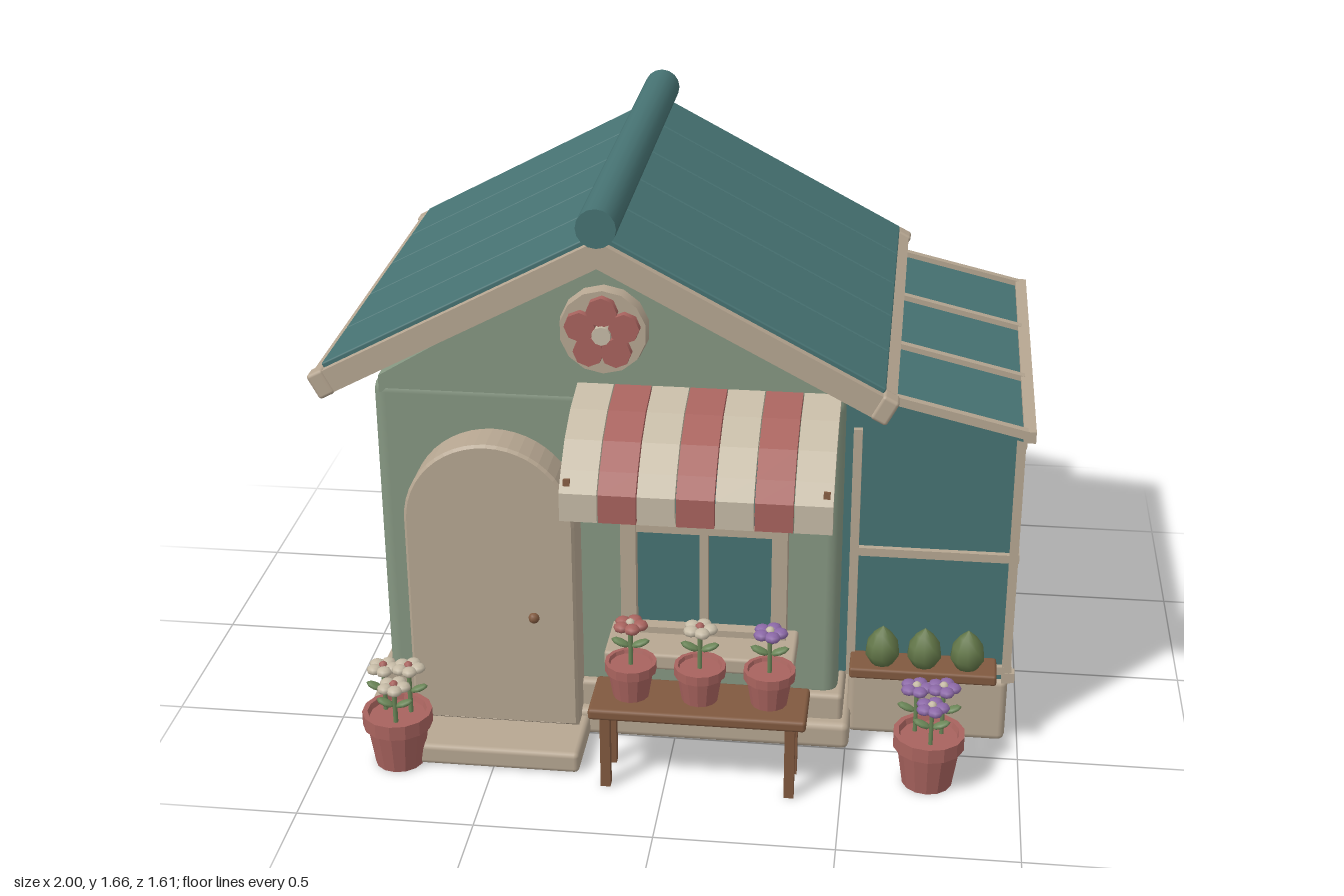
import * as THREE from 'three';
import { RoundedBoxGeometry } from 'three/addons/geometries/RoundedBoxGeometry.js';

const mat = (name, color) => Object.assign(new THREE.MeshStandardMaterial({ color }), { name });

export function createModel() {
  const M = {
    teal: mat('teal roof and glass', 0x467272),
    sage: mat('sage wall', 0x859681),
    trim: mat('stone trim', 0xb6a691),
    cream: mat('cream', 0xc6bba6),
    red: mat('terracotta red', 0xa8635e),
    wood: mat('brown wood', 0x80593f),
    leaf: mat('leaf green', 0x6a8557),
    bush: mat('bush green', 0x627648),
    purple: mat('purple petals', 0x8b68a6),
  };
  const model = new THREE.Group();
  const add = (name, geo, m, x = 0, y = 0, z = 0, parent = model) => {
    const mesh = new THREE.Mesh(geo, m);
    mesh.name = name;
    mesh.position.set(x, y, z);
    parent.add(mesh);
    return mesh;
  };
  const group = (name, x, y, z, parent = model) => {
    const g = new THREE.Group();
    g.name = name;
    g.position.set(x, y, z);
    parent.add(g);
    return g;
  };
  // Box given by its extents; r rounds the edges
  const box = (name, m, x0, x1, y0, y1, z0, z1, r = 0, parent = model) => {
    const s = [x1 - x0, y1 - y0, z1 - z0];
    const geo = r ? new RoundedBoxGeometry(...s, 2, r) : new THREE.BoxGeometry(...s);
    return add(name, geo, m, (x0 + x1) / 2, (y0 + y1) / 2, (z0 + z1) / 2, parent);
  };
  // Square bar between two points
  const bar = (name, m, a, b, w = 0.025) => {
    const A = new THREE.Vector3(...a), B = new THREE.Vector3(...b);
    const mesh = add(name, new THREE.BoxGeometry(w, w, A.distanceTo(B)), m);
    mesh.position.copy(A).add(B).multiplyScalar(0.5);
    mesh.lookAt(B);
    return mesh;
  };
  const poly = pts => new THREE.Shape(pts.map(p => new THREE.Vector2(...p)));
  const extrude = (name, shape, m, z0, z1, bevel = 0) => add(name, new THREE.ExtrudeGeometry(shape, {
    depth: z1 - z0 - bevel, bevelEnabled: bevel > 0, bevelSize: bevel, bevelOffset: -bevel,
    bevelThickness: bevel, bevelSegments: 1, curveSegments: 12,
  }), m, 0, 0, z0);

  // House body
  const CX = -0.195, CZ = -0.113;
  box('lowerFoundation', M.trim, -0.905, 0.51, 0, 0.085, -0.735, 0.51, 0.02);
  box('upperFoundation', M.trim, -0.882, 0.488, 0.07, 0.165, -0.715, 0.478, 0.015);
  box('walls', M.sage, -0.86, 0.47, 0.13, 1.09, -0.69, 0.455, 0.04);
  extrude('gable', poly([[-0.84, 1.05], [0.45, 1.05], [0.45, 1.1], [CX, 1.49], [-0.84, 1.1]]), M.sage, -0.687, 0.452);
  box('doorStep', M.trim, -0.8, -0.25, 0, 0.065, 0.45, 0.72, 0.015);

  // Main roof: two mirrored slopes
  for (const turn of [0, Math.PI]) {
    const side = group('roofSide', CX, 1.56, CZ);
    side.rotation.y = turn;
    const slope = group('roofSlope', 0, 0, 0, side);
    slope.rotation.z = -Math.atan(0.53);
    box('roofBase', M.teal, 0, 0.9, -0.03, 0.004, -0.67, 0.67, 0, slope);
    for (let i = 0; i < 5; i++) {
      const z = -0.665 + i * 0.266;
      box('roofPanel', M.teal, 0.02, 0.868, 0, 0.02, z + 0.002, z + 0.264, 0.005, slope);
    }
    for (const s of [-1, 1]) {
      box('rakeBoard', M.trim, 0, 0.905, -0.062, 0.006, s * 0.672 - 0.016, s * 0.672 + 0.016, 0, slope);
      box('eaveCap', M.trim, 0.865, 0.916, -0.066, 0.012, s * 0.665 - 0.028, s * 0.665 + 0.028, 0.01, slope);
    }
    box('eaveBoard', M.trim, 0.872, 0.908, -0.058, 0.006, -0.67, 0.67, 0, slope);
  }
  add('ridgeCap', new THREE.CylinderGeometry(0.055, 0.055, 1.385, 16).rotateX(Math.PI / 2), M.teal, CX, 1.603, CZ);

  // Arched door
  const arch = (cx, half, y0, spring, Type = THREE.Shape) => {
    const s = new Type();
    s.moveTo(cx - half, y0);
    s.lineTo(cx + half, y0);
    s.lineTo(cx + half, spring);
    s.absarc(cx, spring, half, 0, Math.PI, false);
    s.lineTo(cx - half, y0);
    return s;
  };
  const DX = -0.517;
  const frame = arch(DX, 0.243, 0.065, 0.712);
  frame.holes.push(arch(DX, 0.198, 0.08, 0.677, THREE.Path));
  extrude('doorFrame', frame, M.trim, 0.44, 0.57, 0.008);
  extrude('door', arch(DX, 0.2, 0.075, 0.676), M.red, 0.44, 0.545);
  box('doorWindow', M.teal, -0.628, -0.408, 0.427, 0.675, 0.544, 0.55);
  box('doorPanel', M.red, -0.64, -0.392, 0.115, 0.35, 0.54, 0.556, 0.005);
  add('doorKnob', new THREE.SphereGeometry(0.016, 10, 8), M.wood, -0.395, 0.42, 0.572);
  bar('knobStem', M.wood, [-0.395, 0.42, 0.54], [-0.395, 0.42, 0.57], 0.012);

  // Front window
  const win = poly([[-0.152, 0.35], [0.322, 0.35], [0.322, 0.965], [-0.152, 0.965]]);
  win.holes.push(poly([[-0.108, 0.38], [0.278, 0.38], [0.278, 0.925], [-0.108, 0.925]]));
  extrude('windowFrame', win, M.trim, 0.44, 0.515);
  box('windowGlass', M.teal, -0.12, 0.29, 0.37, 0.94, 0.45, 0.475);
  box('windowUpright', M.trim, 0.073, 0.097, 0.37, 0.94, 0.46, 0.505);
  box('windowCrossbar', M.trim, -0.12, 0.29, 0.678, 0.702, 0.46, 0.503);
  box('windowSill', M.trim, -0.185, 0.355, 0.31, 0.36, 0.44, 0.635, 0.01);

  // Striped awning
  const profile = [[0.45, 1.085], [0.57, 1.06], [0.66, 1.015], [0.73, 0.96], [0.767, 0.92], [0.767, 0.848],
    [0.789, 0.848], [0.789, 0.93], [0.745, 0.98], [0.675, 1.038], [0.575, 1.083], [0.45, 1.108]];
  for (let i = 0; i < 7; i++) {
    const geo = new THREE.ExtrudeGeometry(poly(profile), { depth: 0.102, bevelEnabled: false }).rotateY(-Math.PI / 2);
    add('awningStripe', geo, i % 2 ? M.red : M.cream, -0.172 + i * 0.105);
  }
  for (const x of [-0.255, 0.44]) bar('awningRod', M.wood, [x, 0.955, 0.775], [x, 0.905, 0.45], 0.018);

  // Flower medallion
  const disc = (name, r, n, m, x, y, z0, z1) =>
    add(name, new THREE.CylinderGeometry(r * 0.95, r, z1 - z0, n).rotateX(Math.PI / 2), m, x, y, (z0 + z1) / 2);
  disc('medallion', 0.127, 14, M.trim, CX, 1.275, 0.44, 0.49);
  for (let i = 0; i < 5; i++) {
    const a = Math.PI / 2 + i * Math.PI * 0.4;
    disc('medallionPetal', 0.045, 8, M.red, CX + Math.cos(a) * 0.064, 1.275 + Math.sin(a) * 0.064, 0.48, 0.51);
  }
  disc('medallionCentre', 0.028, 10, M.cream, CX, 1.275, 0.48, 0.52);

  // Greenhouse
  box('greenhouseBase', M.trim, 0.5, 0.962, 0, 0.205, -0.715, 0.41, 0.02);
  extrude('greenhouseGlass', poly([[0.46, 0.2], [0.95, 0.2], [0.95, 0.985], [0.46, 1.1]]), M.teal, -0.705, 0.395);
  const roofGlass = poly([[0.46, 1.1], [0.97, 0.978], [0.97, 1.0], [0.46, 1.122]]);
  extrude('greenhouseRoof', roofGlass, M.teal, -0.735, 0.43);
  for (const z of [0.43, 0.045, -0.347, -0.735]) bar('rafter', M.trim, [0.46, 1.125, z], [0.975, 1.003, z]);
  bar('eaveRail', M.trim, [0.975, 1.0, -0.747], [0.975, 1.0, 0.443], 0.034);
  for (const z of [0.4, -0.15, -0.71]) {
    bar('sidePost', M.trim, [0.955, 0.2, z], [0.955, 0.99, z]);
    bar('postFoot', M.trim, [0.965, 0.205, z], [0.965, 0.235, z], 0.03);
  }
  for (const y of [0.24, 0.605, 0.963]) bar('sideRail', M.trim, [0.957, y, -0.72], [0.957, y, 0.41], 0.027);
  for (const z of [0.4, -0.71]) bar('housePost', M.trim, [0.505, 0.2, z], [0.505, 0.985, z]);
  for (const y of [0.24, 0.605]) bar('frontRail', M.trim, [0.495, y, 0.4], [0.965, y, 0.4]);

  // Shelf with bushes
  box('shelf', M.wood, 0.505, 0.925, 0.245, 0.278, 0.4, 0.51, 0.008);
  const bushProfile = [[0, 0], [0.032, 0.004], [0.05, 0.035], [0.045, 0.07], [0.025, 0.1], [0, 0.122]];
  for (const x of [0.597, 0.717, 0.84])
    add('bush', new THREE.LatheGeometry(bushProfile.map(p => new THREE.Vector2(...p)), 10), M.bush, x, 0.277, 0.465);

  // Bench
  box('benchTop', M.wood, -0.21, 0.4, 0.228, 0.262, 0.6, 0.79, 0.01);
  for (const x of [-0.165, 0.355]) {
    for (const z of [0.635, 0.757]) bar('benchLeg', M.wood, [x, 0, z], [x, 0.235, z], 0.028);
    bar('benchBrace', M.wood, [x, 0.205, 0.635], [x, 0.205, 0.757], 0.02);
  }

  // Potted flowers
  const blob = (name, m, sx, sy, sz, x, y, z, parent) => {
    const b = add(name, new THREE.SphereGeometry(1, 8, 6), m, x, y, z, parent);
    b.scale.set(sx, sy, sz);
    return b;
  };
  const flower = (m, x, y0, y1, z, r, parent) => {
    add('stem', new THREE.CylinderGeometry(0.007, 0.007, y1 - y0, 6), M.leaf, x, (y0 + y1) / 2, z, parent);
    for (let i = 0; i < 5; i++) {
      const a = i * Math.PI * 0.4;
      blob('petal', m, r * 0.5, r * 0.32, r * 0.5, x + Math.cos(a) * r * 0.6, y1, z + Math.sin(a) * r * 0.6, parent);
    }
    blob('flowerCentre', m === M.cream ? M.red : M.cream, r * 0.3, r * 0.3, r * 0.3, x, y1 + r * 0.12, z, parent);
    for (const s of [-1, 1]) {
      const leaf = blob('leaf', M.leaf, r * 0.62, r * 0.2, r * 0.36, x + s * r * 0.6, y0 + (y1 - y0) * 0.55, z, parent);
      leaf.rotation.z = s * 0.4;
    }
  };
  const pot = (x, y, z, r, h, heads) => {
    const g = group('flowerPot', x, y, z);
    const pts = [[0, 0], [r * 0.7, 0], [r * 0.88, h * 0.74], [r, h * 0.74], [r, h], [r * 0.85, h], [r * 0.8, h * 0.9], [0, h * 0.9]];
    const geo = new THREE.LatheGeometry(pts.map(p => new THREE.Vector2(...p)), 14).toNonIndexed();
    geo.computeVertexNormals();
    add('pot', geo, M.red, 0, 0, 0, g);
    for (const [m, fx, fy, fz, fr] of heads) flower(m, fx, h * 0.88, fy, fz, fr, g);
  };
  pot(-0.1, 0.262, 0.69, 0.073, 0.108, [[M.red, 0, 0.222, 0, 0.046]]);
  pot(0.095, 0.262, 0.69, 0.073, 0.108, [[M.cream, 0, 0.222, 0, 0.046]]);
  pot(0.29, 0.262, 0.69, 0.073, 0.108, [[M.purple, 0, 0.222, 0, 0.046]]);
  const cluster = m => [[m, -0.04, 0.29, -0.025, 0.045], [m, 0.035, 0.297, -0.02, 0.045], [m, 0.005, 0.268, 0.04, 0.045]];
  pot(-0.777, 0, 0.7, 0.1, 0.168, cluster(M.cream));
  pot(0.74, 0, 0.637, 0.102, 0.165, cluster(M.purple));

  return model;
}
